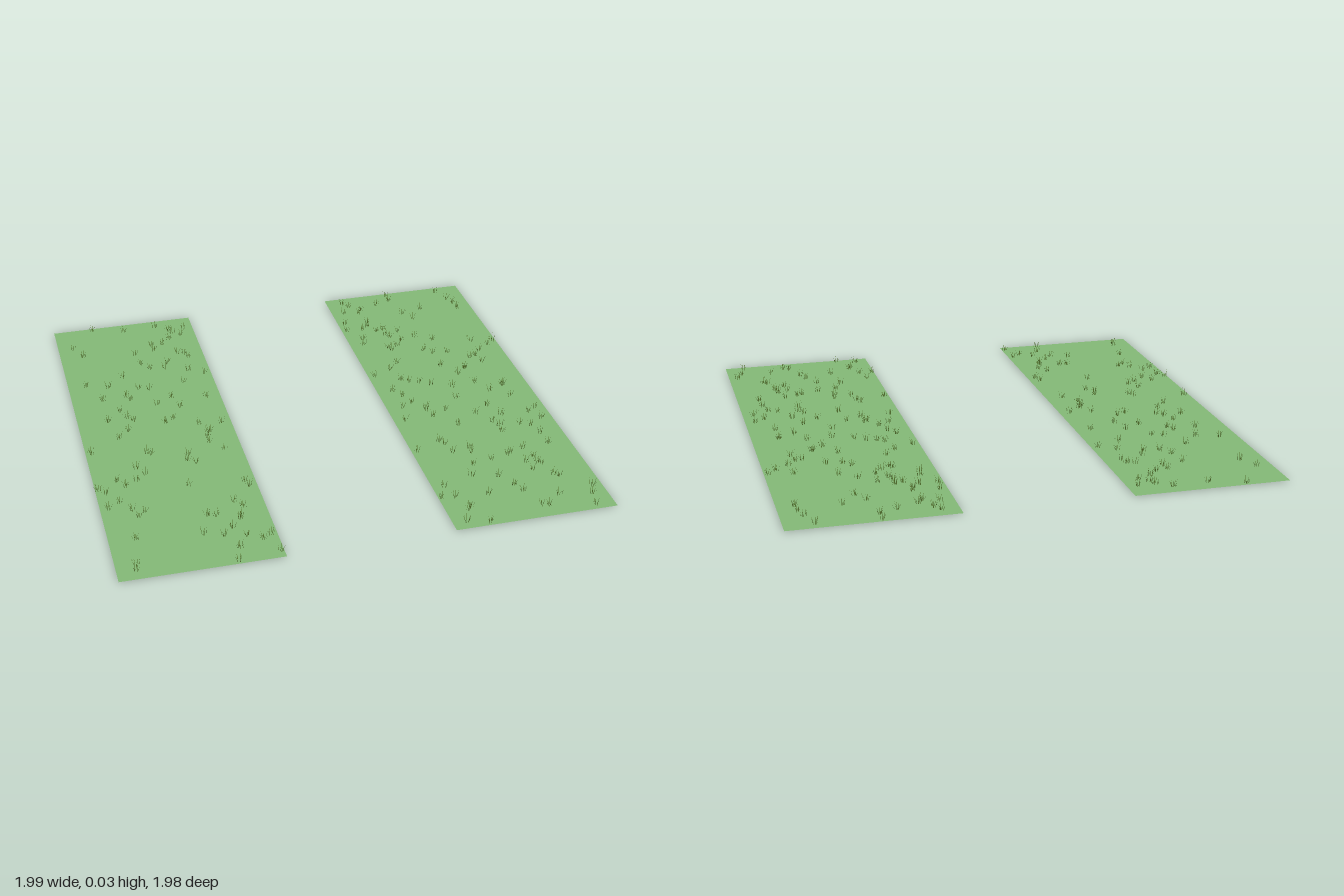
import * as THREE from 'three';
import { mergeGeometries } from 'three/addons/utils/BufferGeometryUtils.js';

// Small seeded random generator
function makeRandom(seed) {
  let s = seed;
  return () => {
    s = (s * 16807) % 2147483647;
    return s / 2147483647;
  };
}

// One bent, tapering grass blade rooted at the origin, leaning towards +x
function bladeGeometry(height, lean, width) {
  const geo = new THREE.PlaneGeometry(width, height, 1, 3);
  const p = geo.attributes.position;
  for (let i = 0; i < p.count; i++) {
    const t = p.getY(i) / height + 0.5;
    p.setXYZ(i, lean * t * t, height * t, p.getX(i) * (1 - 0.85 * t));
  }
  geo.computeVertexNormals();
  return geo;
}

// A tuft: a loose clump of blades fanning outwards
function tuftGeometry(random) {
  const blades = [];
  const count = 7;
  for (let i = 0; i < count; i++) {
    const angle = (i / count) * Math.PI * 2 + random() * 0.6;
    const radius = 0.004 + random() * 0.009;
    const blade = bladeGeometry(0.022 + random() * 0.011, 0.004 + random() * 0.006, 0.0035);
    blade.rotateY(angle);
    blade.translate(Math.cos(angle) * radius, 0, -Math.sin(angle) * radius);
    blades.push(blade);
  }
  return mergeGeometries(blades);
}

// A flat lawn strip with tufts scattered over it
function lawnStrip(name, minX, maxX, tuftCount, seed, lawnMat, grassMat) {
  const strip = new THREE.Group();
  strip.name = name;
  const width = maxX - minX;
  const length = 1.98;

  const lawn = new THREE.Mesh(new THREE.PlaneGeometry(width, length), lawnMat);
  lawn.name = 'lawn';
  lawn.rotation.x = -Math.PI / 2;
  lawn.position.set((minX + maxX) / 2, 0.003, 0);
  strip.add(lawn);

  const random = makeRandom(seed);
  const tufts = [];
  for (let i = 0; i < tuftCount; i++) {
    const tuft = tuftGeometry(random);
    // Stratified along the length so no stretch is left bare
    const z = ((i + random()) / tuftCount - 0.5) * (length - 0.02);
    const x = minX + 0.01 + random() * (width - 0.02);
    tuft.translate(x, 0, z);
    tufts.push(tuft);
  }
  const grass = new THREE.Mesh(mergeGeometries(tufts), grassMat);
  grass.name = 'grassTufts';
  strip.add(grass);
  return strip;
}

export function createModel() {
  const model = new THREE.Group();
  model.name = 'grassStrips';
  const lawnMat = new THREE.MeshStandardMaterial({ color: 0x84b977, side: THREE.DoubleSide });
  const grassMat = new THREE.MeshStandardMaterial({ color: 0x55752f, side: THREE.DoubleSide });

  model.add(lawnStrip('rightStrip', -1, -0.36, 90, 1234, lawnMat, grassMat));
  model.add(lawnStrip('leftStrip', 0.315, 0.985, 120, 9871, lawnMat, grassMat));
  return model;
}
